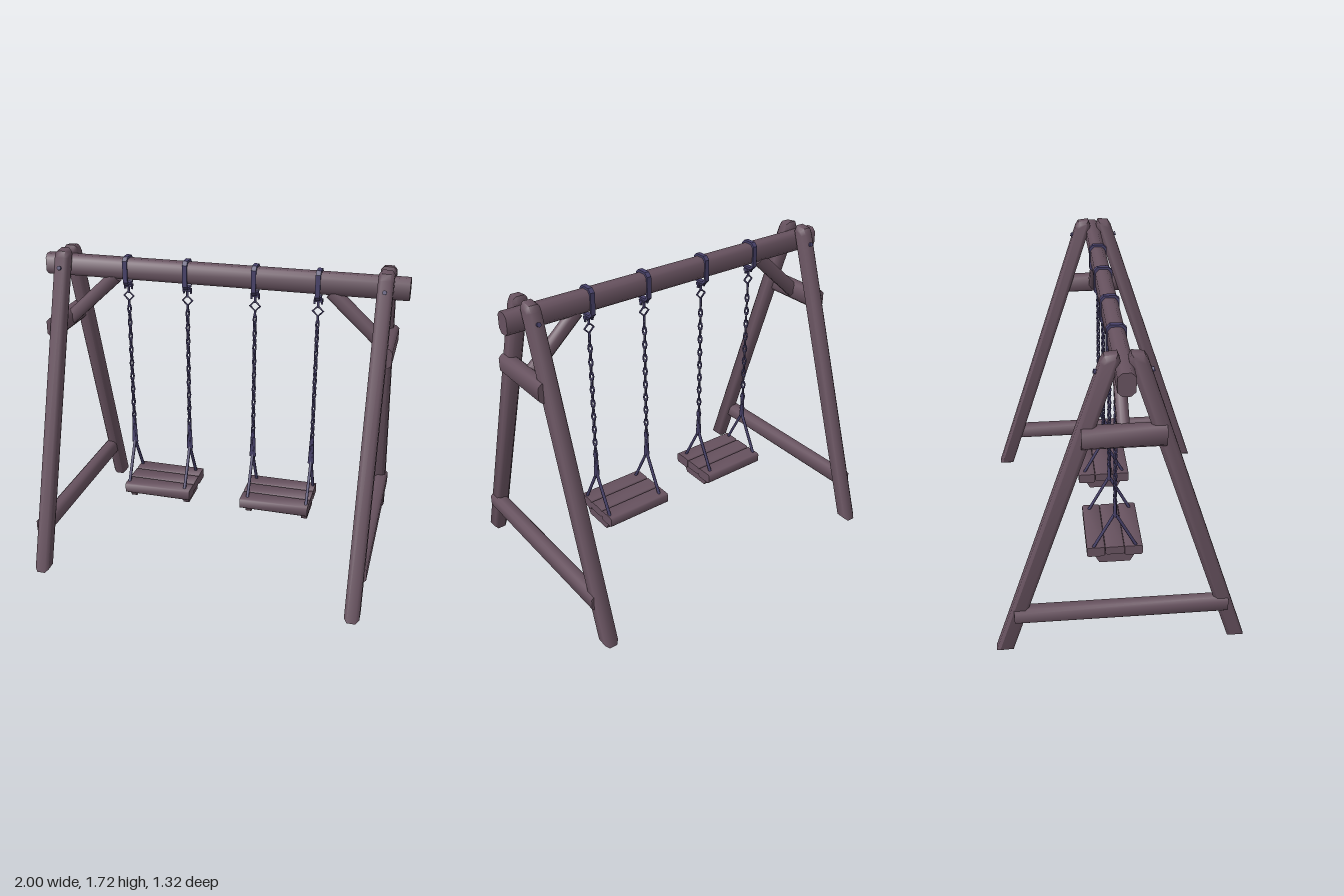
import * as THREE from 'three';
import { toCreasedNormals } from 'three/addons/utils/BufferGeometryUtils.js';

const wood = new THREE.MeshStandardMaterial({ color: 0x67525f });
wood.name = 'dark wood';
const metal = new THREE.MeshStandardMaterial({ color: 0x464068 });
metal.name = 'blue steel';

function add(parent, name, geometry, material, x = 0, y = 0, z = 0) {
  const mesh = new THREE.Mesh(geometry, material);
  mesh.name = name;
  mesh.position.set(x, y, z);
  parent.add(mesh);
  return mesh;
}

// Rectangle with cut corners, for timber cross-sections
function timberSection(w, h, c) {
  const x = w / 2, y = h / 2;
  return new THREE.Shape([
    [-x + c, -y], [x - c, -y], [x, -y + c], [x, y - c],
    [x - c, y], [-x + c, y], [-x, y - c], [-x, -y + c],
  ].map(p => new THREE.Vector2(...p)));
}

// Straight timber between two points, w wide and h deep
function timber(parent, name, from, to, w, h, c = 0.018) {
  const a = new THREE.Vector3(...from), b = new THREE.Vector3(...to);
  const length = a.distanceTo(b);
  const geo = new THREE.ExtrudeGeometry(timberSection(w, h, c), { depth: length, bevelEnabled: false });
  geo.translate(0, 0, -length / 2);
  const mesh = add(parent, name, toCreasedNormals(geo, 0.9), wood);
  mesh.position.copy(a).add(b).multiplyScalar(0.5);
  mesh.lookAt(b);
  return mesh;
}

// Round steel rod between two points
function rod(parent, name, from, to, r) {
  const a = new THREE.Vector3(...from), b = new THREE.Vector3(...to);
  const mesh = add(parent, name, new THREE.CylinderGeometry(r, r, a.distanceTo(b), 6), metal);
  mesh.position.copy(a).add(b).multiplyScalar(0.5);
  mesh.quaternion.setFromUnitVectors(new THREE.Vector3(0, 1, 0), b.sub(a).normalize());
}

// Leaning leg, drawn from the side and extruded across its width
function legGeometry() {
  const outline = [[0.572, 0], [0.66, 0], [0.108, 1.685], [0.09, 1.715], [0.03, 1.722], [0.018, 1.69]];
  const shape = new THREE.Shape(outline.map(p => new THREE.Vector2(...p)));
  const geo = new THREE.ExtrudeGeometry(shape, {
    depth: 0.046, bevelEnabled: true, bevelThickness: 0.017, bevelSize: 0.017, bevelOffset: -0.017, bevelSegments: 1,
  });
  geo.translate(0, 0, -0.023);
  geo.rotateY(-Math.PI / 2);
  return toCreasedNormals(geo, 0.9);
}

// Strap wrapped round the top beam
function strapGeometry() {
  const shape = timberSection(0.1, 0.16, 0.02);
  shape.holes.push(timberSection(0.078, 0.136, 0.016));
  const geo = new THREE.ExtrudeGeometry(shape, { depth: 0.026, bevelEnabled: false });
  geo.translate(0, 0, -0.013);
  geo.rotateY(Math.PI / 2);
  return geo;
}

function makeFrameSide(side, legGeo) {
  const end = new THREE.Group();
  end.name = side > 0 ? 'leftFrame' : 'rightFrame';
  for (const s of [1, -1]) {
    const leg = new THREE.Group();
    leg.name = s > 0 ? 'frontLeg' : 'backLeg';
    leg.position.x = side * 0.88;
    if (s < 0) leg.rotation.y = Math.PI;
    add(leg, 'legPost', legGeo, wood);
    const bolt = add(leg, 'legBolt', new THREE.CylinderGeometry(0.012, 0.012, 0.02, 8), metal, 0, 1.63, 0.127);
    bolt.rotation.x = Math.PI / 2 - 0.32;
    end.add(leg);
  }
  timber(end, 'upperCrossbar', [side * 0.908, 1.307, -0.198], [side * 0.908, 1.307, 0.198], 0.08, 0.105);
  timber(end, 'lowerCrossbar', [side * 0.895, 0.238, -0.555], [side * 0.895, 0.238, 0.555], 0.076, 0.094);
  timber(end, 'diagonalBrace', [side * 0.6, 1.575, 0], [side * 0.915, 1.285, 0], 0.06, 0.075);
  return end;
}

function makeChain(x, strapGeo) {
  const chain = new THREE.Group();
  chain.name = 'hangingChain';
  chain.position.x = x;
  add(chain, 'beamStrap', strapGeo, metal, 0, 1.612, 0);

  // Hook plate, eye and diamond shackle
  add(chain, 'hookPlate', new THREE.BoxGeometry(0.045, 0.014, 0.03), metal, 0, 1.526, 0);
  add(chain, 'hookPin', new THREE.CylinderGeometry(0.007, 0.007, 0.05, 6), metal, 0, 1.508, 0);
  for (const s of [1, -1]) {
    add(chain, 'hookTip', new THREE.BoxGeometry(0.009, 0.03, 0.012), metal, s * 0.02, 1.52, 0);
  }
  add(chain, 'shackle', new THREE.TorusGeometry(0.028, 0.006, 5, 4), metal, 0, 1.465, 0);
  add(chain, 'shackleNeck', new THREE.CylinderGeometry(0.007, 0.007, 0.04, 6), metal, 0, 1.42, 0);

  // Links turned alternately by a quarter turn
  const linkGeo = new THREE.TorusGeometry(0.0095, 0.0055, 5, 8);
  linkGeo.scale(1, 2.1, 1);
  const count = 20;
  for (let i = 0; i < count; i++) {
    const link = add(chain, 'chainLink', linkGeo, metal, 0, 1.39 - i * 0.0408, 0);
    link.rotation.y = Math.PI / 4 + (i % 2) * Math.PI / 2;
  }

  // Sleeve above the seat hanger
  const sleeveGeo = new THREE.CylinderGeometry(0.011, 0.019, 0.17, 8);
  sleeveGeo.scale(1, 1, 0.55);
  add(chain, 'chainSleeve', sleeveGeo, metal, 0, 0.645, 0);

  // Triangular seat hanger
  for (const s of [1, -1]) rod(chain, 'hangerRod', [0, 0.575, 0], [0, 0.335, s * 0.125], 0.009);
  return chain;
}

function makeSwing(side, strapGeo) {
  const swing = new THREE.Group();
  swing.name = side > 0 ? 'leftSwing' : 'rightSwing';
  for (const x of [0.19, 0.531]) swing.add(makeChain(side * x, strapGeo));

  // Seat of three planks on two battens
  const planks = [[-0.104, 0.1, 0.06], [0, 0.104, 0.05], [0.104, 0.1, 0.06]];
  for (const [z, w, h] of planks) {
    timber(swing, 'seatPlank', [side * 0.152, 0.354 - h / 2, z], [side * 0.545, 0.354 - h / 2, z], w, h, 0.008);
  }
  for (const x of [0.19, 0.518]) {
    const shape = new THREE.Shape([[-0.085, 0.243], [0.085, 0.243], [0.115, 0.3], [-0.115, 0.3]]
      .map(p => new THREE.Vector2(...p)));
    const geo = new THREE.ExtrudeGeometry(shape, { depth: 0.034, bevelEnabled: false });
    geo.translate(0, 0, -0.017);
    geo.rotateY(-Math.PI / 2);
    add(swing, 'seatBatten', geo, wood, side * x, 0, 0);
  }
  return swing;
}

export function createModel() {
  const model = new THREE.Group();
  model.name = 'swingSet';
  timber(model, 'topBeam', [-1, 1.622, 0], [1, 1.622, 0], 0.084, 0.116, 0.022);
  const legGeo = legGeometry(), strapGeo = strapGeometry();
  for (const side of [1, -1]) {
    model.add(makeFrameSide(side, legGeo));
    model.add(makeSwing(side, strapGeo));
  }
  return model;
}
